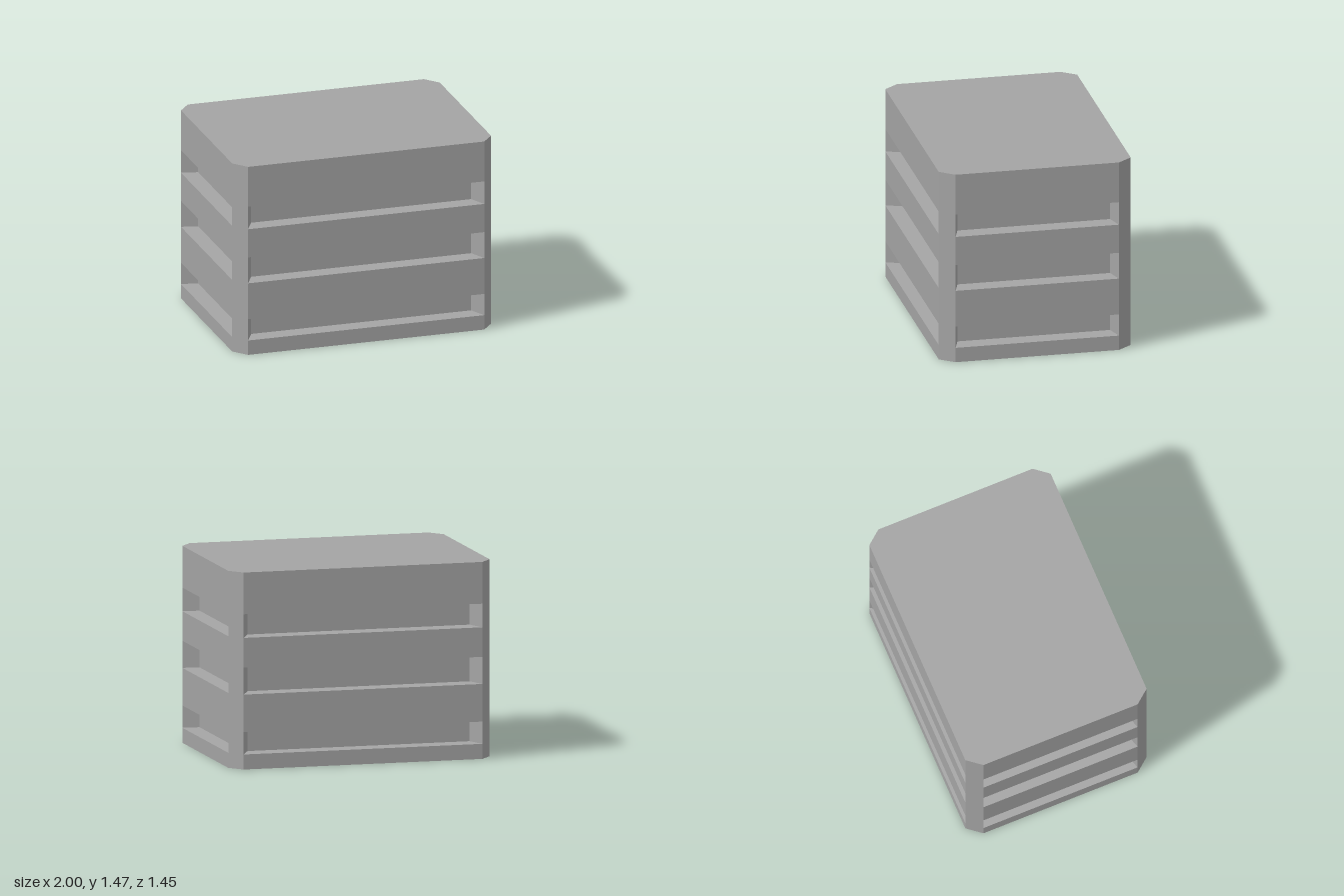
import * as THREE from 'three';

const HEIGHT = 1.467;
const TAPER = 0.005;
const SLOTS = [[0.112, 0.278], [0.558, 0.76], [0.98, 1.156]];

// Mirrors the two points of one corner into a ring of eight [x, z] points
function ring([x1, z1], [x2, z2]) {
  return [[-x1, z1], [x1, z1], [x2, z2], [x2, -z2], [x1, -z1], [-x1, -z1], [-x2, -z2], [-x2, z2]];
}
const OUTER = ring([0.913, 0.723], [1, 0.615]);
const INNER = ring([0.85, 0.605], [0.88, 0.575]);

// Builds flat-faced geometry from quads whose corners run counter-clockwise
function quadGeometry(quads) {
  const positions = quads.flatMap(([a, b, c, d]) => [a, b, c, a, c, d].flat());
  const geometry = new THREE.BufferGeometry();
  geometry.setAttribute('position', new THREE.Float32BufferAttribute(positions, 3));
  geometry.computeVertexNormals();
  return geometry;
}

const at = ([x, z], y) => [x, y, z];

// One side: a vertical profile stepping in at every slot, plus the slot ends
function sideGeometry(i) {
  const j = i + 1;
  const profile = [[0, OUTER]];
  const quads = [];
  for (const [low, high] of SLOTS) {
    const inLow = low + TAPER, inHigh = high - TAPER;
    profile.push([low, OUTER], [inLow, INNER], [inHigh, INNER], [high, OUTER]);
    quads.push(
      [at(OUTER[i], low), at(INNER[i], inLow), at(INNER[i], inHigh), at(OUTER[i], high)],
      [at(INNER[j], inLow), at(OUTER[j], low), at(OUTER[j], high), at(INNER[j], inHigh)]
    );
  }
  profile.push([HEIGHT, OUTER]);
  for (let k = 0; k < profile.length - 1; k++) {
    const [y0, r0] = profile[k];
    const [y1, r1] = profile[k + 1];
    quads.push([at(r0[i], y0), at(r0[j], y0), at(r1[j], y1), at(r1[i], y1)]);
  }
  return quadGeometry(quads);
}

export function createModel() {
  const group = new THREE.Group();
  group.name = 'slattedCrate';
  const material = new THREE.MeshStandardMaterial({ color: 0xa4a4a4, flatShading: true });
  const add = (name, geometry) => {
    const mesh = new THREE.Mesh(geometry, material);
    mesh.name = name;
    group.add(mesh);
    return mesh;
  };

  // Slotted sides and the chamfered corners between them
  const sides = ['front', 'left', 'back', 'right'];
  sides.forEach((side, n) => {
    const i = n * 2, a = OUTER[i + 1], b = OUTER[(i + 2) % 8];
    add(`${side}Side`, sideGeometry(i));
    add(`corner${n + 1}`, quadGeometry([[at(a, 0), at(b, 0), at(b, HEIGHT), at(a, HEIGHT)]]));
  });

  // Top and bottom plates
  const outline = new THREE.Shape(OUTER.map(([x, z]) => new THREE.Vector2(x, z)));
  add('top', new THREE.ShapeGeometry(outline).rotateX(-Math.PI / 2)).position.y = HEIGHT;
  add('bottom', new THREE.ShapeGeometry(outline).rotateX(Math.PI / 2));

  return group;
}
